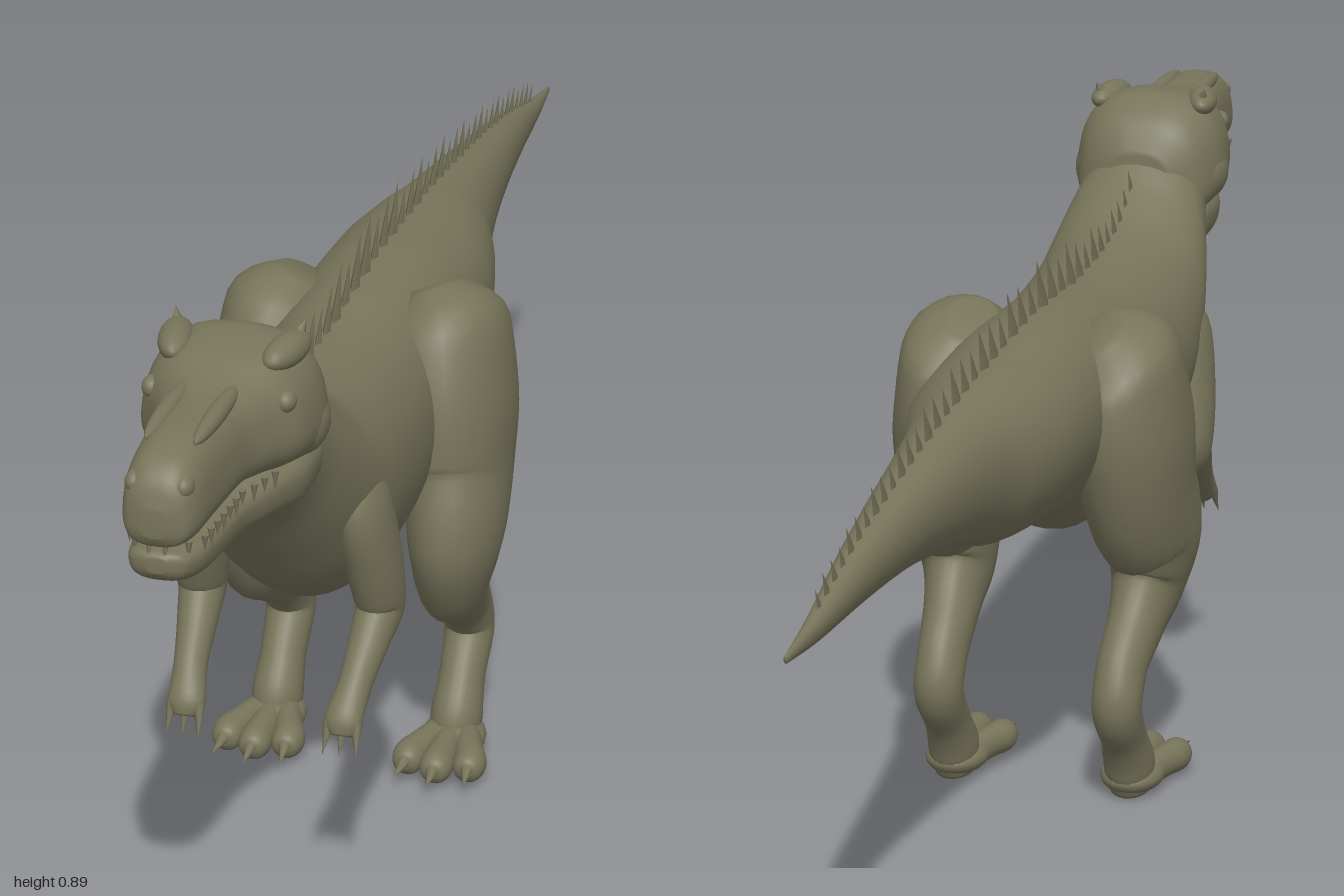
import * as THREE from 'three';

const hide = new THREE.MeshStandardMaterial({ color: 0x77745a });
hide.name = 'olive hide';

// Smooth interpolation of a table of section rows, without overshoot
function smoothRows(rows, steps) {
  const out = [];
  const slope = (i, k) => {
    if (i === 0 || i === rows.length - 1) return 0.5 * (i === 0 ? rows[1][k] - rows[0][k] : rows[i][k] - rows[i - 1][k]);
    const a = rows[i][k] - rows[i - 1][k], b = rows[i + 1][k] - rows[i][k];
    return a * b <= 0 ? 0 : (2 * a * b) / (a + b);
  };
  for (let i = 0; i < rows.length - 1; i++) {
    for (let s = 0; s < steps; s++) {
      const t = s / steps, t2 = t * t, t3 = t2 * t;
      out.push(rows[i].map((p, k) =>
        (2 * t3 - 3 * t2 + 1) * p + (t3 - 2 * t2 + t) * slope(i, k) +
        (3 * t2 - 2 * t3) * rows[i + 1][k] + (t3 - t2) * slope(i + 1, k)));
    }
  }
  out.push(rows[rows.length - 1]);
  return out;
}

// Closed skin over rings {c, S, U, rx, ry}; power < 1 squares the section, taper widens its top
function skin(rings, sides, power = 1, taper = 0) {
  const pos = [], idx = [];
  const pw = (v) => Math.sign(v) * Math.abs(v) ** power;
  for (const { c, S, U, rx, ry } of rings) {
    for (let j = 0; j < sides; j++) {
      const a = (j / sides) * Math.PI * 2, v = pw(Math.sin(a));
      const p = c.clone().addScaledVector(S, rx * pw(Math.cos(a)) * (1 + taper * v)).addScaledVector(U, ry * v);
      pos.push(p.x, p.y, p.z);
    }
  }
  const n = rings.length, first = n * sides, last = first + 1;
  for (const r of [rings[0], rings[n - 1]]) pos.push(r.c.x, r.c.y, r.c.z);
  for (let j = 0; j < sides; j++) {
    const k = (j + 1) % sides;
    for (let i = 0; i < n - 1; i++) {
      const a = i * sides + j, b = i * sides + k;
      idx.push(a, b, b + sides, a, b + sides, a + sides);
    }
    idx.push(first, k, j, last, (n - 1) * sides + j, (n - 1) * sides + k);
  }
  const g = new THREE.BufferGeometry();
  g.setAttribute('position', new THREE.Float32BufferAttribute(pos, 3));
  g.setIndex(idx);
  g.computeVertexNormals();
  return g;
}

// Rows: z, bottom, top, half width
function trunk(rows, power, taper) {
  const S = new THREE.Vector3(1, 0, 0), U = new THREE.Vector3(0, 1, 0);
  return skin(smoothRows(rows, 5).map(([z, b, t, rx]) => (
    { c: new THREE.Vector3(0, (b + t) / 2, z), S, U, rx, ry: (t - b) / 2 })), 40, power, taper);
}

// Rows: x, y, z, radius sideways, radius fore and aft
function limb(rows, side) {
  const pts = smoothRows(rows, 5), c = pts.map((p) => new THREE.Vector3(p[0] * side, p[1], p[2]));
  return skin(pts.map((p, i) => {
    const T = c[Math.min(i + 1, c.length - 1)].clone().sub(c[Math.max(i - 1, 0)]).normalize();
    const S = new THREE.Vector3(1, 0, 0).addScaledVector(T, -T.x).normalize();
    return { c: c[i], S, U: T.clone().cross(S), rx: p[3], ry: p[4] };
  }), 24);
}

const BODY = [
  [-1, 0.575, 0.585, 0.003], [-0.9, 0.565, 0.6, 0.012], [-0.75, 0.56, 0.635, 0.026], [-0.6, 0.55, 0.66, 0.04],
  [-0.45, 0.525, 0.68, 0.056], [-0.33, 0.495, 0.693, 0.075], [-0.25, 0.47, 0.7, 0.1], [-0.15, 0.455, 0.705, 0.118],
  [0, 0.43, 0.713, 0.122], [0.12, 0.37, 0.71, 0.128], [0.25, 0.357, 0.702, 0.133], [0.38, 0.375, 0.708, 0.135],
  [0.46, 0.42, 0.72, 0.13], [0.53, 0.5, 0.755, 0.118], [0.59, 0.575, 0.8, 0.1], [0.65, 0.63, 0.82, 0.085], [0.7, 0.68, 0.8, 0.05]];
const SKULL = [
  [0.57, 0.7, 0.8, 0.05], [0.6, 0.69, 0.85, 0.092], [0.66, 0.7, 0.878, 0.11], [0.72, 0.715, 0.872, 0.103],
  [0.77, 0.725, 0.857, 0.078], [0.82, 0.731, 0.85, 0.06], [0.9, 0.731, 0.85, 0.053], [0.96, 0.731, 0.84, 0.048],
  [0.99, 0.735, 0.815, 0.037], [1, 0.75, 0.785, 0.015]];
const JAW = [
  [0.57, 0.67, 0.74, 0.05], [0.62, 0.637, 0.74, 0.095], [0.68, 0.642, 0.74, 0.097], [0.75, 0.655, 0.735, 0.078],
  [0.82, 0.662, 0.728, 0.055], [0.9, 0.667, 0.728, 0.049], [0.95, 0.676, 0.728, 0.045], [0.985, 0.69, 0.728, 0.034], [0.995, 0.702, 0.722, 0.012]];
const LEG = [
  [0.09, 0.69, 0.05, 0.035, 0.05], [0.11, 0.64, 0.065, 0.085, 0.115], [0.125, 0.55, 0.08, 0.085, 0.132],
  [0.135, 0.45, 0.1, 0.075, 0.122], [0.145, 0.37, 0.14, 0.064, 0.1], [0.14, 0.31, 0.13, 0.053, 0.078],
  [0.135, 0.26, 0.085, 0.04, 0.055], [0.13, 0.205, 0.02, 0.035, 0.043], [0.13, 0.16, 0, 0.035, 0.038],
  [0.13, 0.1, 0.04, 0.032, 0.036], [0.13, 0.05, 0.07, 0.036, 0.042], [0.13, 0.012, 0.08, 0.03, 0.035]];
const ARM = [
  [0.085, 0.63, 0.46, 0.02, 0.03], [0.105, 0.56, 0.47, 0.036, 0.055], [0.115, 0.48, 0.455, 0.036, 0.05],
  [0.12, 0.41, 0.44, 0.032, 0.042], [0.116, 0.375, 0.475, 0.027, 0.03], [0.11, 0.33, 0.53, 0.022, 0.023],
  [0.105, 0.297, 0.565, 0.025, 0.018], [0.105, 0.28, 0.575, 0.014, 0.01]];

export function createModel() {
  const model = new THREE.Group();
  const add = (name, geometry, parent = model) => {
    const m = new THREE.Mesh(geometry, hide);
    m.name = name;
    parent.add(m);
    return m;
  };
  const group = (name) => {
    const g = new THREE.Group();
    g.name = name;
    model.add(g);
    return g;
  };
  const ball = (name, parent, p, s) => {
    const m = add(name, new THREE.SphereGeometry(1, 20, 14), parent);
    m.position.set(...p);
    m.scale.set(...s);
    return m;
  };
  const spike = (name, parent, from, to, r) => {
    const a = new THREE.Vector3(...from), d = new THREE.Vector3(...to).sub(a);
    const m = add(name, new THREE.ConeGeometry(r, d.length(), 8), parent);
    m.position.copy(a).addScaledVector(d, 0.5);
    m.quaternion.setFromUnitVectors(new THREE.Vector3(0, 1, 0), d.normalize());
  };

  add('body', trunk(BODY, 1, 0.1));
  const head = group('head');
  add('skull', trunk(SKULL, 0.75, -0.12), head);
  add('lowerJaw', trunk(JAW, 0.75, 0.08), head);

  // Leaning plates along the back, tallest near the shoulders
  const crest = group('backSpines'), ridge = smoothRows(BODY, 5);
  for (let i = 0, z = 0.54; z > -0.9; i++) {
    const k = ridge.findIndex((r) => r[0] >= z), a = ridge[k - 1], b = ridge[k];
    const top = a[2] + (b[2] - a[2]) * (z - a[0]) / (b[0] - a[0]);
    const rise = z > 0.15 ? 1 - (z - 0.15) / 0.5 : 1 - (0.15 - z) / 1.35;
    const h = 0.015 + 0.06 * rise * [1, 0.65, 0.85][i % 3];
    const g = new THREE.ConeGeometry(0.35 * h + 0.004, h + 0.012, 4);
    g.translate(0, h / 2 - 0.006, 0).scale(0.3, 1, 1);
    g.applyMatrix4(new THREE.Matrix4().makeShear(0, 0, 0, -0.35, 0, 0));
    const p = g.attributes.position;
    for (let v = 0; v < p.count; v++) p.setZ(v, p.getZ(v) - (p.getY(v) > h / 2 ? 0.008 : 0));
    g.computeVertexNormals();
    add('backSpine', g, crest).position.set(0, top, z);
    z -= 0.022 + 0.028 * rise;
  }

  for (const s of [1, -1]) {
    const label = s > 0 ? 'left' : 'right';

    // Brow horns, eyes, cheeks and snout ridges
    ball('browRidge', head, [s * 0.07, 0.862, 0.685], [0.022, 0.02, 0.05]).rotation.y = -s * 0.2;
    spike('browHorn', head, [s * 0.075, 0.865, 0.66], [s * 0.083, 0.888, 0.645], 0.012);
    ball('eye', head, [s * 0.084, 0.82, 0.738], [0.013, 0.014, 0.016]);
    ball('cheek', head, [s * 0.085, 0.76, 0.66], [0.03, 0.04, 0.05]);
    ball('snoutRidge', head, [s * 0.03, 0.843, 0.84], [0.012, 0.012, 0.09]);
    ball('nostril', head, [s * 0.03, 0.808, 0.972], [0.012, 0.014, 0.016]);

    // Teeth along the mouth line
    for (let i = 0; i < 11; i++) {
      const z = 0.76 + i * 0.021;
      const x = s * (z < 0.82 ? 0.076 - (z - 0.76) * 0.33 : z < 0.95 ? 0.054 - (z - 0.82) * 0.06 : 0.046 - (z - 0.95) * 0.65);
      spike('tooth', head, [x, 0.737, z], [x, 0.71 + (i % 2) * 0.006, z], 0.005);
    }
    spike('frontTooth', head, [s * 0.01, 0.745, 0.985], [s * 0.01, 0.712, 0.992], 0.005);

    // Leg with three clawed toes
    const leg = group(label + 'Leg');
    add('thighAndShank', limb(LEG, s), leg);
    ball('footPad', leg, [s * 0.13, 0.028, 0.09], [0.046, 0.026, 0.058]);
    for (const t of [-1, 0, 1]) {
      const x = 0.13 + t * 0.043, reach = t ? 0.185 : 0.2;
      add('toe', limb([
        [0.13 + t * 0.018, 0.03, 0.08, 0.018, 0.022], [0.13 + t * 0.034, 0.031, 0.135, 0.021, 0.023],
        [x, 0.03, reach - 0.02, 0.023, 0.024], [x, 0.028, reach, 0.018, 0.018], [x, 0.027, reach + 0.007, 0.006, 0.006]], s), leg);
      spike('toeClaw', leg, [s * x, 0.035, reach - 0.005], [s * (x + t * 0.006), 0.028, reach + 0.042], 0.011);
    }

    // Arm with three claws
    const arm = group(label + 'Arm');
    add('armAndHand', limb(ARM, s), arm);
    for (const t of [-1, 0, 1]) {
      const x = 0.105 + t * 0.018;
      spike('fingerClaw', arm, [s * x, 0.297, 0.568], [s * (x + t * 0.004), 0.256, 0.588], 0.008);
    }
  }
  return model;
}
